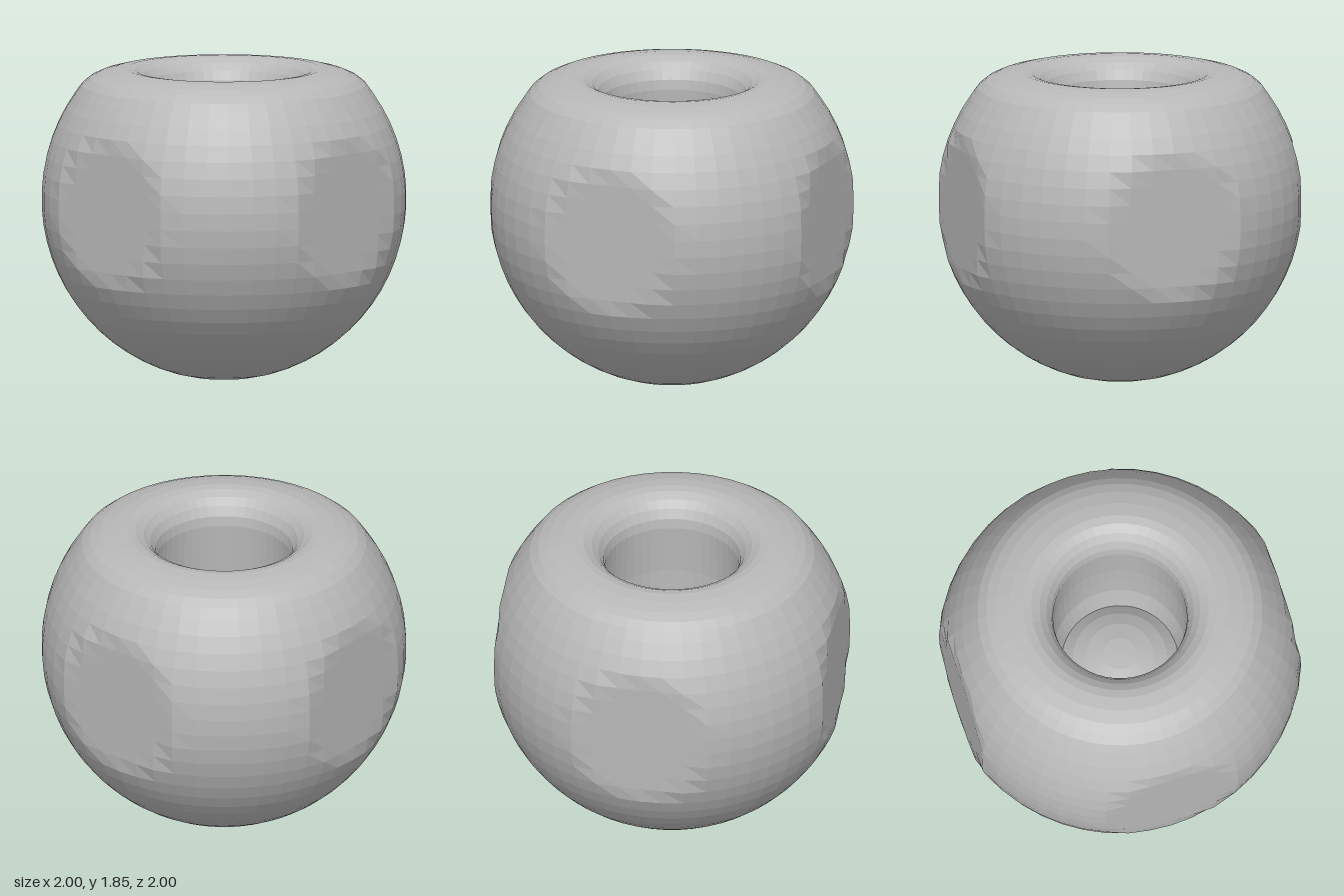
import * as THREE from 'three';

const clay = new THREE.MeshStandardMaterial({ color: 0xb8b8b8, flatShading: true });
clay.name = 'grey clay';

const R = 1.09, CENTRE = 1.07, SEGMENTS = 48;

function lathe(points, name) {
  const geometry = new THREE.LatheGeometry(points.map(([r, y]) => new THREE.Vector2(r, y)), SEGMENTS);
  // Press four flat discs into the sides
  const p = geometry.attributes.position;
  for (let i = 0; i < p.count; i++) {
    p.setX(i, THREE.MathUtils.clamp(p.getX(i), -1, 1));
    p.setZ(i, THREE.MathUtils.clamp(p.getZ(i), -1, 1));
  }
  geometry.computeVertexNormals();
  const mesh = new THREE.Mesh(geometry, clay);
  mesh.name = name;
  return mesh;
}

export function createModel() {
  const group = new THREE.Group();
  group.name = 'roundPot';

  // Spherical outside, standing on a small flat foot
  const outside = [[0, 0], [0.2, 0]];
  const low = 0.025, high = 1.7, rings = 20;
  const a0 = Math.asin((low - CENTRE) / R), a1 = Math.asin((high - CENTRE) / R);
  for (let i = 0; i <= rings; i++) {
    const a = a0 + (a1 - a0) * i / rings;
    outside.push([R * Math.cos(a), CENTRE + R * Math.sin(a)]);
  }
  group.add(lathe(outside, 'body'));

  // Rolled rim around the mouth
  group.add(lathe([
    outside[outside.length - 1], [0.85, 1.755], [0.8, 1.795], [0.74, 1.822], [0.66, 1.842],
    [0.58, 1.85], [0.53, 1.842], [0.48, 1.815], [0.44, 1.775], [0.41, 1.72], [0.4, 1.66],
  ], 'rim'));

  // Hollow inside with a gently domed floor
  group.add(lathe([
    [0.4, 1.66], [0.405, 1.5], [0.41, 1.35], [0.405, 1.2], [0.395, 1.05], [0.35, 0.9],
    [0.28, 0.96], [0.2, 1.0], [0.1, 1.025], [0, 1.03],
  ], 'cavity'));

  return group;
}
